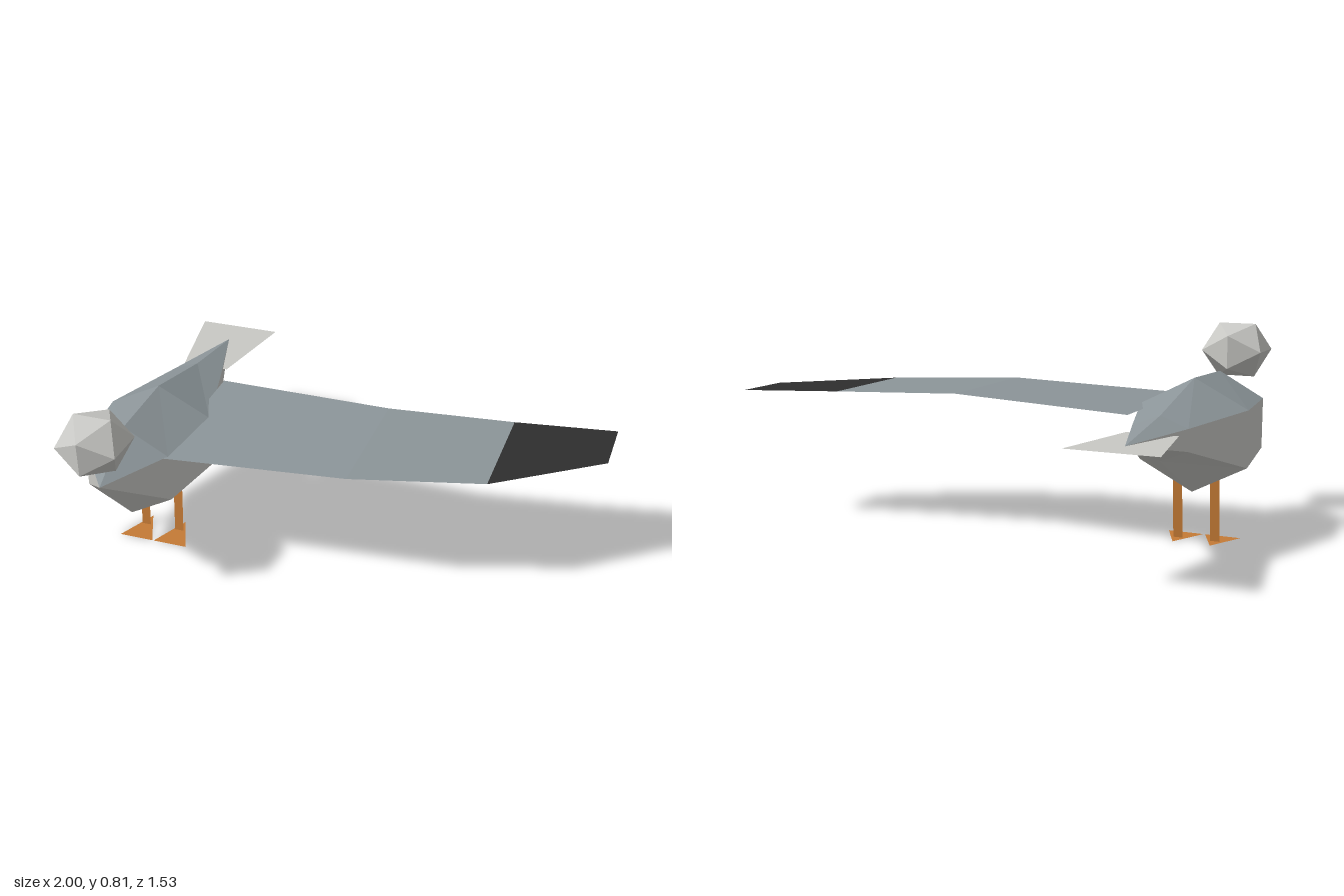
import * as THREE from 'three';

const CX = -0.787; // centre line of the body

function mat(name, color, doubleSided) {
  const m = new THREE.MeshStandardMaterial({ color, flatShading: true });
  m.name = name;
  if (doubleSided) m.side = THREE.DoubleSide;
  return m;
}

// Builds a faceted geometry from a list of corner triples
function fromTriangles(tris) {
  const g = new THREE.BufferGeometry();
  g.setAttribute('position', new THREE.Float32BufferAttribute(tris.flat(2), 3));
  g.computeVertexNormals();
  return g;
}

// Sheet strung between front and back edge points of successive sections
function sheet(sections) {
  const tris = [];
  for (let i = 0; i + 1 < sections.length; i++) {
    const [a, b] = sections[i], [c, d] = sections[i + 1];
    tris.push([a, c, b], [b, c, d]); // faces up
  }
  return fromTriangles(tris);
}

export function createModel() {
  const group = new THREE.Group();
  const lightGrey = mat('light grey', 0xc8c8c4, true);
  const slate = mat('slate grey', 0x8c9599, true);
  const black = mat('black', 0x2e2e2e, true);
  const orange = mat('orange', 0xc47a35, true);

  const add = (name, geometry, material) => {
    const mesh = new THREE.Mesh(geometry, material);
    mesh.name = name;
    group.add(mesh);
    return mesh;
  };

  // Body: hexagonal rings [z, centre y, radius, half width], pointed at both ends
  const rings = [
    [0.632, 0.5, 0, 0],
    [0.405, 0.4375, 0.1975, 0.178],
    [0.085, 0.425, 0.22, 0.213],
    [-0.29, 0.4725, 0.0825, 0.105],
    [-0.635, 0.5, 0, 0],
  ];
  const corner = ([z, y, r, w], k) => {
    const a = (k * Math.PI) / 3;
    const side = [0, 1, 1, 0, -1, -1][k % 6];
    return [CX + side * w, y + Math.cos(a) * r, z];
  };
  const back = [], belly = [];
  for (let i = 0; i + 1 < rings.length; i++) {
    for (let k = 0; k < 6; k++) {
      const a = corner(rings[i], k), b = corner(rings[i], k + 1);
      const c = corner(rings[i + 1], k), d = corner(rings[i + 1], k + 1);
      const out = k === 0 || k === 5 ? back : belly;
      if (rings[i][2] > 0) out.push([a, b, c]);
      if (rings[i + 1][2] > 0) out.push([b, d, c]);
      else if (rings[i][2] === 0) out.push([a, d, c]);
    }
  }
  // Wind every face away from the body's axis
  const outward = (tris) => tris.map(([a, b, c]) => {
    const A = new THREE.Vector3(...a), B = new THREE.Vector3(...b), C = new THREE.Vector3(...c);
    const mid = A.clone().add(B).add(C).divideScalar(3).sub(new THREE.Vector3(CX, 0.46, 0.1));
    const n = B.sub(A).cross(C.sub(A));
    return n.dot(mid) > 0 ? [a, b, c] : [a, c, b];
  });
  add('bodyBack', fromTriangles(outward(back)), slate);
  add('bodyBelly', fromTriangles(outward(belly)), lightGrey);

  // Head
  const head = add('head', new THREE.IcosahedronGeometry(1, 0), lightGrey);
  head.scale.set(0.144, 0.127, 0.157);
  head.position.set(CX, 0.698, 0.63);

  // Tail fan
  add('tail', sheet([
    [[CX - 0.098, 0.5, -0.37], [CX - 0.173, 0.5, -0.765]],
    [[CX + 0.098, 0.5, -0.37], [CX + 0.173, 0.5, -0.765]],
  ]), lightGrey);

  // Outstretched wing with a dark tip
  const wing = [
    [-0.635, 0.535, 0.423, -0.217],
    [0.1, 0.56, 0.375, -0.17],
    [0.6, 0.547, 0.227, -0.243],
    [1, 0.537, -0.072, -0.317],
  ].map(([x, y, zf, zb]) => [[x, y, zf], [x, y, zb]]);
  add('wing', sheet(wing.slice(0, 3)), slate);
  add('wingTip', sheet(wing.slice(2)), black);

  // Flat legs and webbed feet
  for (const s of [-1, 1]) {
    const x = CX + s * 0.075, w = 0.019;
    const side = s < 0 ? 'right' : 'left';
    add(side + 'Leg', fromTriangles([
      [[x - w, 0.002, 0.155], [x + w, 0.002, 0.155], [x + w, 0.27, 0.13]],
      [[x - w, 0.002, 0.155], [x + w, 0.27, 0.13], [x - w, 0.27, 0.13]],
    ]), orange);
    add(side + 'Foot', fromTriangles([
      [[x, 0, 0.09], [x - 0.072, 0, 0.255], [x + 0.072, 0, 0.255]],
    ]), orange);
  }
  return group;
}
